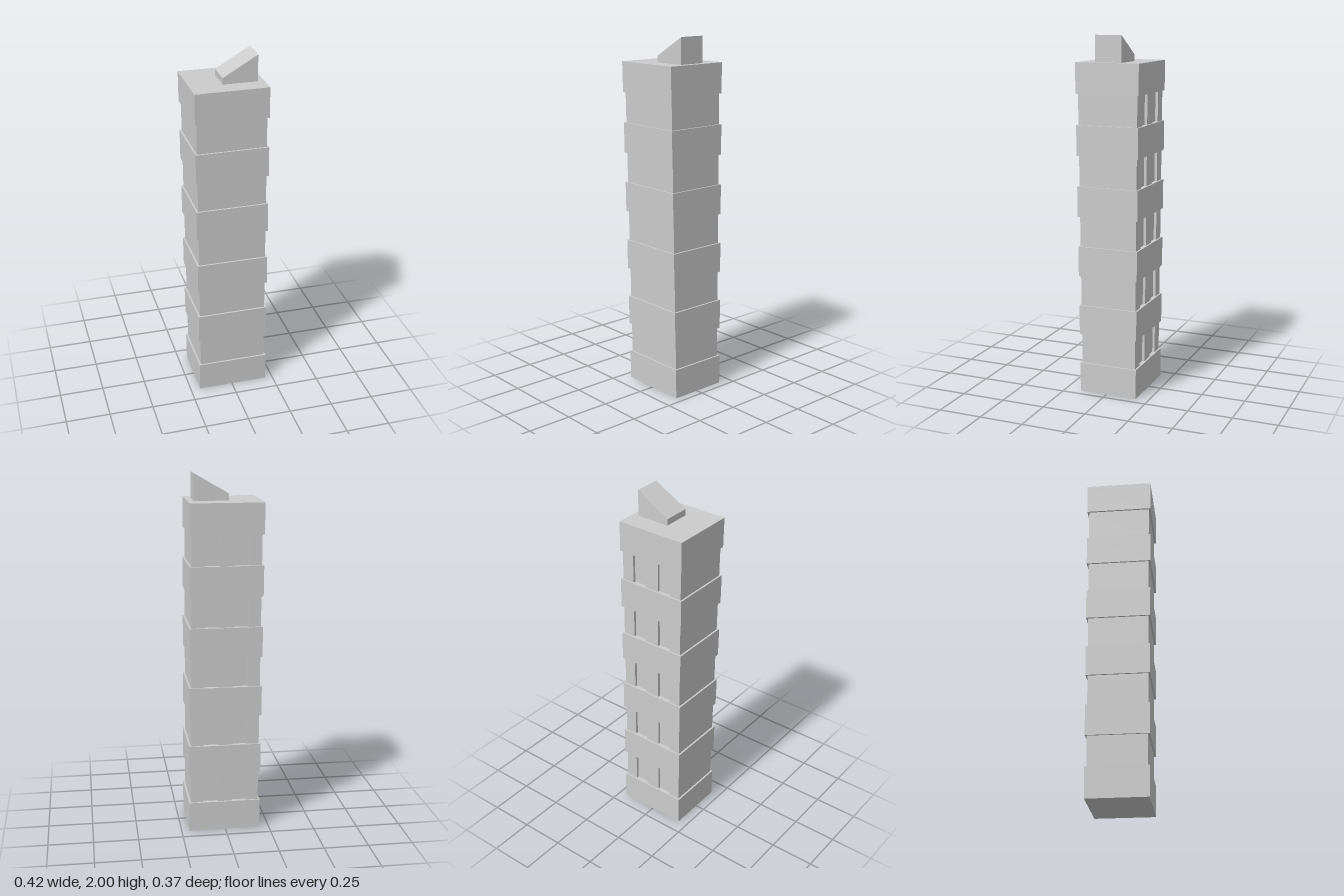
import * as THREE from 'three';

const material = new THREE.MeshStandardMaterial({ color: 0xcccccc, flatShading: true });
const ROOF = 1.855;
const STOREYS = 11;

// Footprint of the gently leaning tower at height y, pulled in by inset
function footprint(y, inset) {
  const t = y / ROOF, mix = THREE.MathUtils.lerp;
  return {
    left: mix(-0.195, -0.211, t) + inset,
    right: mix(0.207, 0.191, t) - inset,
    front: mix(0.157, 0.183, t) - inset,
    back: mix(-0.178, -0.184, t) + inset,
  };
}

// Storey: unit plan outline (x across, y from front to back) raised and fitted to the lean
function storey(name, outline, y0, y1, inset) {
  const shape = new THREE.Shape(outline.map(([u, v]) => new THREE.Vector2(u, v)));
  const geo = new THREE.ExtrudeGeometry(shape, { depth: 1, bevelEnabled: false });
  geo.rotateX(-Math.PI / 2);
  const p = geo.attributes.position;
  for (let i = 0; i < p.count; i++) {
    const y = THREE.MathUtils.lerp(y0, y1, p.getY(i));
    const f = footprint(y, inset);
    p.setXYZ(i,
      THREE.MathUtils.lerp(f.left, f.right, p.getX(i)), y,
      THREE.MathUtils.lerp(f.front, f.back, -p.getZ(i)));
  }
  geo.computeVertexNormals();
  const mesh = new THREE.Mesh(geo, material);
  mesh.name = name;
  return mesh;
}

export function createModel() {
  const tower = new THREE.Group();
  tower.name = 'tower';

  const plain = [[0, 0], [1, 0], [1, 1], [0, 1]];
  // Recessed storeys have two full-height window slots in the back wall
  const d = 0.955;
  const slotted = [[0, 0], [1, 0], [1, 1]];
  for (const [a, b] of [[0.82, 0.61], [0.39, 0.18]]) {
    slotted.push([a, 1], [a, d], [b, d], [b, 1]);
  }
  slotted.push([0, 1]);

  // Alternating wide bands and recessed storeys
  const h = ROOF / STOREYS;
  for (let i = 0; i < STOREYS; i++) {
    const band = i % 2 === 0;
    tower.add(storey(band ? 'band' : 'windowStorey', band ? plain : slotted,
      i * h, (i + 1) * h, band ? 0 : 0.01));
  }

  // Sloping roof house
  const wedge = new THREE.Shape([[-0.034, ROOF], [0.156, ROOF], [0.156, 2], [-0.034, 1.89]]
    .map(([x, y]) => new THREE.Vector2(x, y)));
  const roofGeo = new THREE.ExtrudeGeometry(wedge, { depth: 0.152, bevelEnabled: false });
  roofGeo.translate(0, 0, -0.072);
  const roofHouse = new THREE.Mesh(roofGeo, material);
  roofHouse.name = 'roofHouse';
  tower.add(roofHouse);

  return tower;
}
